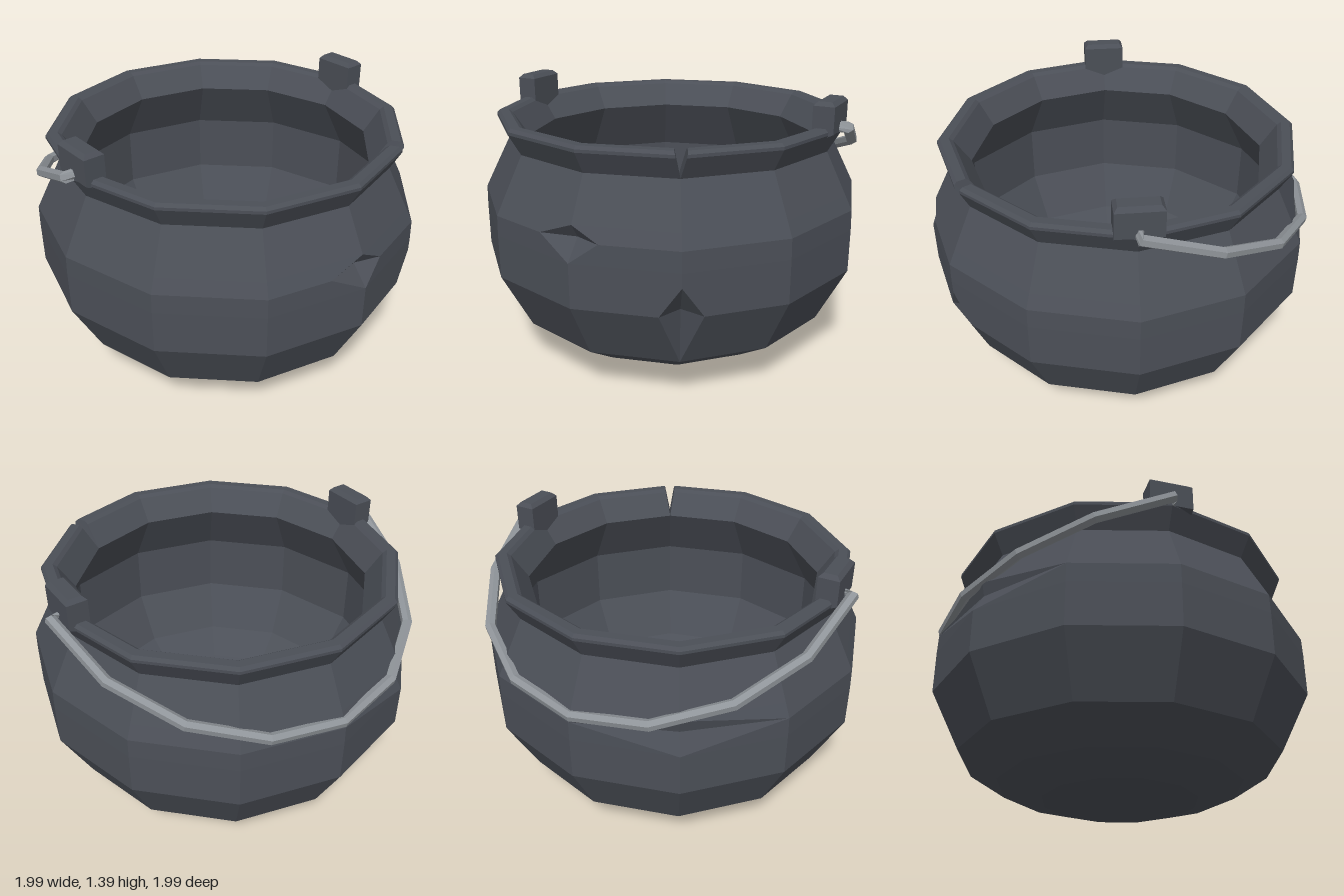
import * as THREE from 'three';

const RAD = Math.PI / 180;
const iron = new THREE.MeshStandardMaterial({ color: 0x4b4f57, flatShading: true });
iron.name = 'dark iron';
const steel = new THREE.MeshStandardMaterial({ color: 0x8f9499, flatShading: true });
steel.name = 'light steel';

// Point on a twelve-sided ring, with a corner at every 30 degrees
function ringPoint(deg, r, y) {
  const off = (((deg % 30) + 30) % 30) - 15;
  const rr = (r * Math.cos(15 * RAD)) / Math.cos(off * RAD);
  return new THREE.Vector3(rr * Math.sin(deg * RAD), y, rr * Math.cos(deg * RAD));
}

function meshFrom(name, tris, material) {
  const geo = new THREE.BufferGeometry().setFromPoints(tris);
  geo.computeVertexNormals();
  const mesh = new THREE.Mesh(geo, material);
  mesh.name = name;
  return mesh;
}

// Skin a profile of [radius, height] rows over columns of angles.
// point(deg, r, y) places a corner; dented(deg, y) marks pushed-in corners.
function skin(cols, rows, point = ringPoint, dented = () => false) {
  const tris = [];
  for (let i = 0; i < cols.length - 1; i++) {
    for (let j = 0; j < rows.length - 1; j++) {
      const corners = [[i, j], [i + 1, j], [i + 1, j + 1], [i, j + 1]];
      const [a, b, c, d] = corners.map(([u, v]) => point(cols[u], rows[v][0], rows[v][1]));
      const hit = corners.map(([u, v]) => dented(cols[u], rows[v][1]));
      const list = hit[0] || hit[2] ? [[a, b, d], [b, c, d]] : [[a, b, c], [a, c, d]];
      for (const t of list) {
        if (new THREE.Triangle(...t).getArea() > 1e-7) tris.push(...t);
      }
    }
  }
  return tris;
}

const twelve = Array.from({ length: 13 }, (_, i) => i * 30);

// Outer bowl with two chipped dents and one soft dent
function makeBowl() {
  const rows = [
    [0, 0], [0.41, 0.03], [0.64, 0.1], [0.845, 0.235], [0.995, 0.53], [0.995, 0.68],
    [0.995, 0.75], [0.992, 0.85], [0.957, 0.92], [0.85, 1.13],
  ];
  const cols = [-11, 0, 8, 24, 30, 36, ...twelve.slice(2, 12), 349];
  const dents = [
    { deg: 0, y: 0.85, r: 0.91 },
    { deg: 30, y: 0.53, r: 0.885 },
    { deg: 210, y: 0.85, r: 0.94 },
  ];
  const find = (deg, y) => dents.find((d) => d.deg === deg && d.y === y);
  const point = (deg, r, y) => ringPoint(deg, find(deg, y)?.r ?? r, y);
  return meshFrom('bowl', skin(cols, rows, point, (deg, y) => !!find(deg, y)), iron);
}

// Inner wall and floor
function makeInterior() {
  const rows = [[0.75, 1.13], [0.91, 0.85], [0.91, 0.53], [0.77, 0.28], [0.6, 0.17], [0.385, 0.1], [0, 0.09]];
  return meshFrom('interior', skin(twelve, rows), iron);
}

// Flared rim, split by a V-shaped crack on the front left
function makeRim() {
  const rows = [
    [0.75, 1.13], [0.85, 1.13], [0.91, 1.235], [0.91, 1.25], [0.895, 1.265],
    [0.85, 1.265], [0.83, 1.25], [0.75, 1.13],
  ];
  const cols = [30, ...twelve.slice(2), 390];
  const point = (deg, r, y) => {
    const gap = (1.9 * (y - 1.13)) / 0.135;
    return ringPoint(deg === 30 ? 30 + gap : deg === 390 ? 390 - gap : deg, r, y);
  };
  // columns run 30, 60 ... 360, 390
  const tris = skin(cols, rows, point);
  for (const deg of [30, 390]) {
    const p = rows.map(([r, y]) => point(deg, r, y));
    for (let k = 1; k < rows.length - 2; k++) {
      const [b, c] = deg === 30 ? [p[k], p[k + 1]] : [p[k + 1], p[k]];
      tris.push(p[0], b, c);
    }
  }
  const mat = iron;
  return meshFrom('rim', tris, mat);
}

// Handle lug: block with a chamfered top, seated into the rim
function makeLug(side) {
  const geo = new THREE.BoxGeometry(0.105, 0.2, 0.22, 1, 2, 1);
  const pos = geo.attributes.position;
  for (let i = 0; i < pos.count; i++) {
    const x = pos.getX(i), y = pos.getY(i), z = pos.getZ(i);
    if (y > 0.05) pos.setXYZ(i, x * 0.62, 1.39, z * 0.84);
    else if (y > -0.05) pos.setY(i, 1.37);
    else pos.setY(i, x * side > 0 ? 1.24 : 1.19);
  }
  geo.computeVertexNormals();
  const lug = new THREE.Mesh(geo, iron);
  lug.name = side > 0 ? 'leftLug' : 'rightLug';
  lug.position.x = side * 0.8525;
  return lug;
}

// Straight-segment path for the handle
class Polyline extends THREE.Curve {
  constructor(points) {
    super();
    this.points = points;
  }
  getPoint(t, target = new THREE.Vector3()) {
    const n = this.points.length - 1;
    const s = THREE.MathUtils.clamp(t, 0, 1) * n;
    const k = Math.min(Math.floor(s), n - 1);
    return target.lerpVectors(this.points[k], this.points[k + 1], s - k);
  }
  getPointAt(t, target) {
    return this.getPoint(t, target);
  }
  getTangentAt(t, target) {
    return this.getTangent(t, target);
  }
}

// Bail handle hooked into both lugs and hanging down the back
function makeHandle() {
  const pts = [new THREE.Vector3(0.86, 1.26, 0)];
  for (let i = 0; i <= 8; i++) {
    const a = (i * Math.PI) / 8;
    pts.push(new THREE.Vector3(0.945 * Math.cos(a), 1.26 - 0.385 * Math.sin(a), -0.972 * Math.sin(a)));
  }
  pts.push(new THREE.Vector3(-0.86, 1.26, 0));
  const mesh = new THREE.Mesh(new THREE.TubeGeometry(new Polyline(pts), pts.length - 1, 0.028, 6), steel);
  mesh.name = 'handle';
  return mesh;
}

export function createModel() {
  const model = new THREE.Group();
  model.name = 'cauldron';
  model.add(makeBowl(), makeInterior(), makeRim(), makeLug(1), makeLug(-1), makeHandle());
  return model;
}
